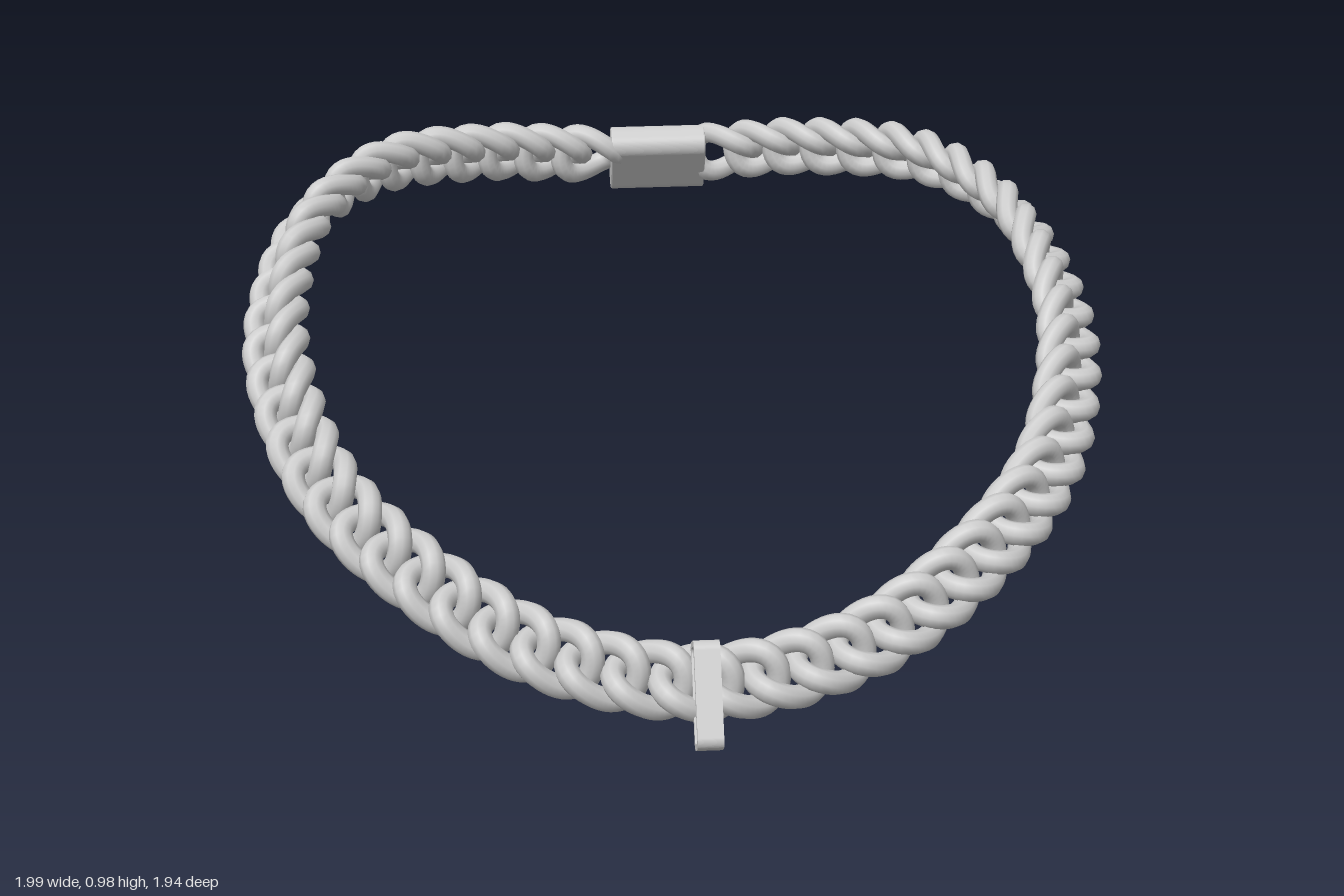
import * as THREE from 'three';

const material = new THREE.MeshStandardMaterial({ color: 0xcccccc, roughness: 0.6 });

// Centre line of the chain: one half from back to front, then mirrored
const half = [
  [0.67, 0.91, -0.64], [0.84, 0.84, -0.41], [0.91, 0.72, -0.15], [0.905, 0.6, 0.08],
  [0.8, 0.43, 0.37], [0.6, 0.295, 0.595], [0.33, 0.175, 0.755],
];
const back = [[0.22, 0.885, -0.865], [0.42, 0.905, -0.8]];
const side = [...back, ...half];
const path = new THREE.CatmullRomCurve3([
  new THREE.Vector3(0.03, 0.865, -0.89),
  ...side.map(([x, y, z]) => new THREE.Vector3(-x, y, z)),
  new THREE.Vector3(0, 0.125, 0.82),
  ...side.slice().reverse().map(([x, y, z]) => new THREE.Vector3(x, y, z)),
], true, 'centripetal');
path.arcLengthDivisions = 800;

// Frame on the path: x along the chain, y across the band (up and inward), z outward
function placeOnPath(object, u) {
  const p = path.getPointAt(u);
  const t = path.getTangentAt(u);
  const inward = new THREE.Vector3(-p.x, 0, -p.z).normalize();
  const w = inward.multiplyScalar(0.58 + 0.12 * Math.abs(p.x));
  w.y = 0.76;
  w.addScaledVector(t, -w.dot(t)).normalize();
  const n = new THREE.Vector3().crossVectors(t, w);
  object.quaternion.setFromRotationMatrix(new THREE.Matrix4().makeBasis(t, w, n));
  object.position.copy(p);
  return object;
}

// Twisted oval ring of round wire
class LinkCurve extends THREE.Curve {
  getPoint(u, target = new THREE.Vector3()) {
    const a = u * Math.PI * 2;
    return target.set(0.077 * Math.cos(a), 0.06 * Math.sin(a), 0.024 * Math.sin(2 * a));
  }
}

function roundedRect(shape, w, h, r) {
  const x = w / 2 - r, y = h / 2 - r;
  shape.absarc(x, y, r, 0, Math.PI / 2);
  shape.absarc(-x, y, r, Math.PI / 2, Math.PI);
  shape.absarc(-x, -y, r, Math.PI, Math.PI * 1.5);
  shape.absarc(x, -y, r, Math.PI * 1.5, Math.PI * 2);
  shape.closePath();
  return shape;
}

export function createModel() {
  const model = new THREE.Group();
  model.name = 'necklace';

  // Interlocking links from one end of the clasp to the other
  const chain = new THREE.Group();
  chain.name = 'chain';
  const linkGeometry = new THREE.TubeGeometry(new LinkCurve(), 40, 0.026, 10, true);
  const length = path.getLength();
  const margin = 0.175;
  const count = Math.round((length - 2 * margin) / 0.1);
  for (let i = 0; i <= count; i++) {
    const link = new THREE.Mesh(linkGeometry, material);
    link.name = 'link';
    const s = margin + (length - 2 * margin) * i / count;
    chain.add(placeOnPath(link, s / length));
  }
  model.add(chain);

  // Flat rounded barrel clasp at the back
  const claspGeometry = new THREE.ExtrudeGeometry(
    roundedRect(new THREE.Shape(), 0.08, 0.178, 0.032),
    { depth: 0.232, bevelEnabled: true, bevelThickness: 0.004, bevelSize: 0.004, bevelSegments: 2, curveSegments: 10 });
  claspGeometry.translate(0, 0, -0.116).rotateY(Math.PI / 2);
  const clasp = new THREE.Mesh(claspGeometry, material);
  clasp.name = 'clasp';
  placeOnPath(clasp, 0);
  model.add(clasp);

  // Thin strap loop at the front for hanging a pendant
  const outline = roundedRect(new THREE.Shape(), 0.078, 0.226, 0.022);
  outline.holes.push(roundedRect(new THREE.Path(), 0.052, 0.2, 0.011));
  const bailGeometry = new THREE.ExtrudeGeometry(outline, { depth: 0.055, bevelEnabled: false, curveSegments: 8 });
  bailGeometry.translate(0, 0, -0.0275).rotateY(Math.PI / 2);
  const bail = new THREE.Mesh(bailGeometry, material);
  bail.name = 'pendantLoop';
  bail.position.set(-0.013, 0.125, 0.888);
  bail.rotation.x = -0.48;
  model.add(bail);

  return model;
}
